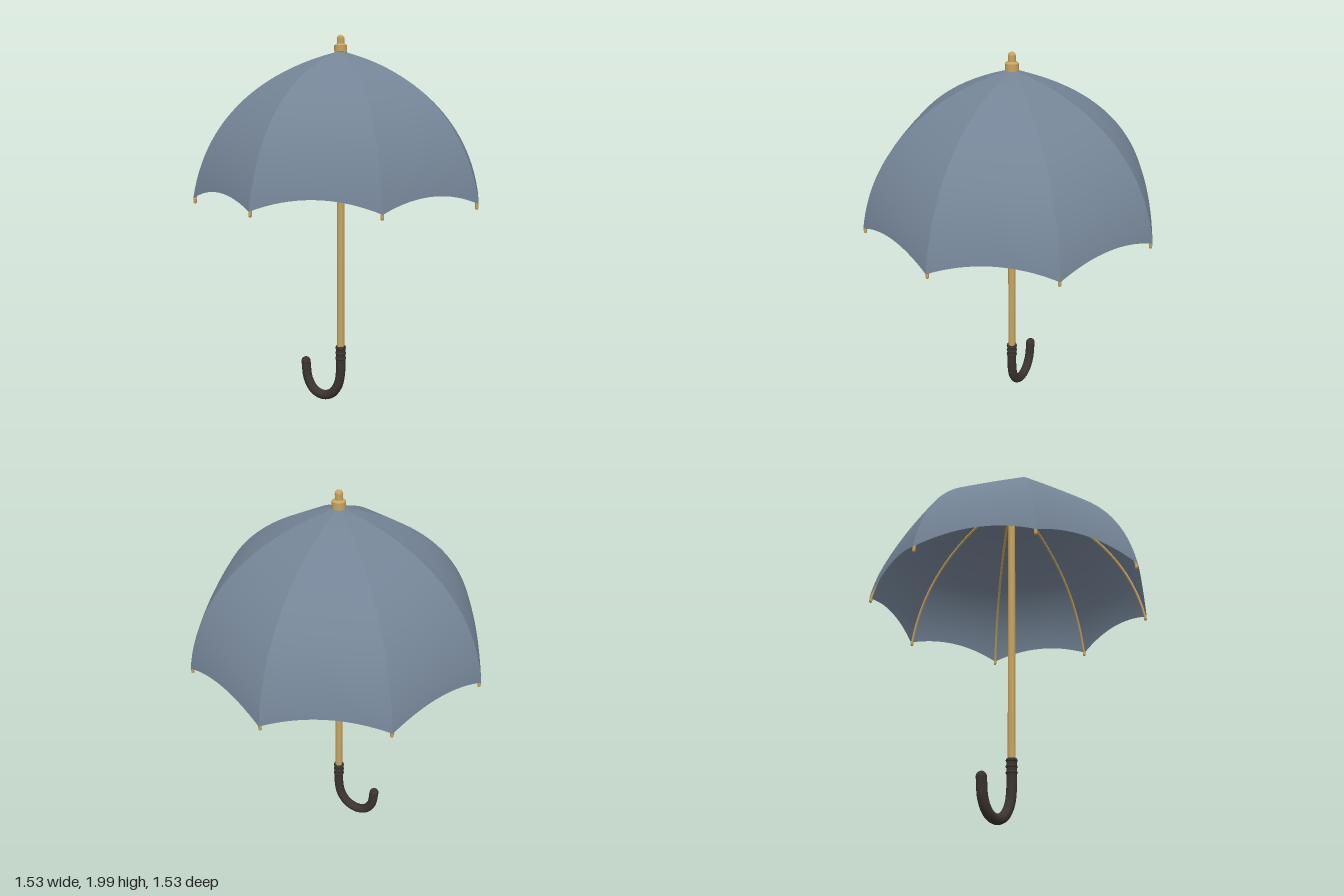
import * as THREE from 'three';
import { ParametricGeometry } from 'three/addons/geometries/ParametricGeometry.js';

const SIDES = 8;
const STEP = (Math.PI * 2) / SIDES;

const fabric = new THREE.MeshStandardMaterial({ color: 0x748496, side: THREE.DoubleSide });
const brass = new THREE.MeshStandardMaterial({ color: 0xc8a560 });
const grip = new THREE.MeshStandardMaterial({ color: 0x3b342e });

// Canopy profile along a rib: x is the distance from the shaft
const profile = new THREE.CubicBezierCurve(
  new THREE.Vector2(0, 1.92), new THREE.Vector2(0.36, 1.83),
  new THREE.Vector2(0.69, 1.62), new THREE.Vector2(0.765, 1.18)
);

function add(parent, name, geometry, material, x = 0, y = 0, z = 0) {
  const mesh = new THREE.Mesh(geometry, material);
  mesh.name = name;
  mesh.position.set(x, y, z);
  parent.add(mesh);
  return mesh;
}

// One flat-spanned gore between two ribs, its hem lifted in a scallop
function panelGeometry() {
  const c = Math.cos(STEP), s = Math.sin(STEP);
  return new ParametricGeometry((u, v, target) => {
    const t = 0.008 + 0.992 * v;
    const p = profile.getPoint(t);
    const lift = 0.057 * 4 * u * (1 - u) * t ** 4;
    target.set(p.x * (1 - u + u * c), p.y + lift, p.x * u * s);
  }, 16, 28);
}

function createCanopy() {
  const canopy = new THREE.Group();
  canopy.name = 'canopy';
  const panel = panelGeometry();

  // Rib just under the fabric seam
  const ribPoints = [];
  for (let i = 0; i <= 16; i++) {
    const p = profile.getPoint(0.02 + 0.98 * (i / 16));
    ribPoints.push(new THREE.Vector3(Math.max(p.x - 0.008, 0), p.y - 0.009, 0));
  }
  const rib = new THREE.TubeGeometry(new THREE.CatmullRomCurve3(ribPoints), 32, 0.007, 8);
  const tip = new THREE.CapsuleGeometry(0.008, 0.018, 4, 10);

  for (let i = 0; i < SIDES; i++) {
    const gore = new THREE.Group();
    gore.name = 'canopySection';
    gore.rotation.y = i * STEP;
    add(gore, 'panel', panel, fabric);
    add(gore, 'rib', rib, brass);
    add(gore, 'ribTip', tip, brass, 0.756, 1.171, 0);
    canopy.add(gore);
  }
  return canopy;
}

function createHandle() {
  const handle = new THREE.Group();
  handle.name = 'handle';
  const radius = 0.026;
  const path = new THREE.CatmullRomCurve3([
    [0, 0.34], [0, 0.27], [0, 0.2], [-0.016, 0.113], [-0.06, 0.052], [-0.12, 0.031],
    [-0.178, 0.05], [-0.218, 0.108], [-0.233, 0.208]
  ].map(([x, y]) => new THREE.Vector3(x, y, 0)));
  add(handle, 'hook', new THREE.TubeGeometry(path, 64, radius, 20), grip);
  add(handle, 'hookEnd', new THREE.SphereGeometry(radius, 20, 14), grip, -0.233, 0.208, 0);
  add(handle, 'gripTop', new THREE.CylinderGeometry(radius, radius, 0.01, 20), grip, 0, 0.335, 0);

  // Grip rings
  for (const y of [0.27, 0.3, 0.33]) {
    const ring = add(handle, 'gripRing', new THREE.TorusGeometry(0.021, 0.009, 10, 24), grip, 0, y, 0);
    ring.rotation.x = Math.PI / 2;
  }
  return handle;
}

function createFinial() {
  const finial = new THREE.Group();
  finial.name = 'finial';
  add(finial, 'collar', new THREE.CylinderGeometry(0.033, 0.033, 0.034, 24), brass, 0, 1.93, 0);
  add(finial, 'collarStep', new THREE.CylinderGeometry(0.024, 0.033, 0.008, 24), brass, 0, 1.951, 0);
  add(finial, 'spike', new THREE.CapsuleGeometry(0.019, 0.05, 8, 20), brass, 0, 1.956, 0);
  return finial;
}

export function createModel() {
  const model = new THREE.Group();
  model.name = 'umbrella';
  model.add(createCanopy(), createHandle(), createFinial());
  add(model, 'shaft', new THREE.CylinderGeometry(0.02, 0.02, 1.61, 20), brass, 0, 1.115, 0);
  return model;
}
